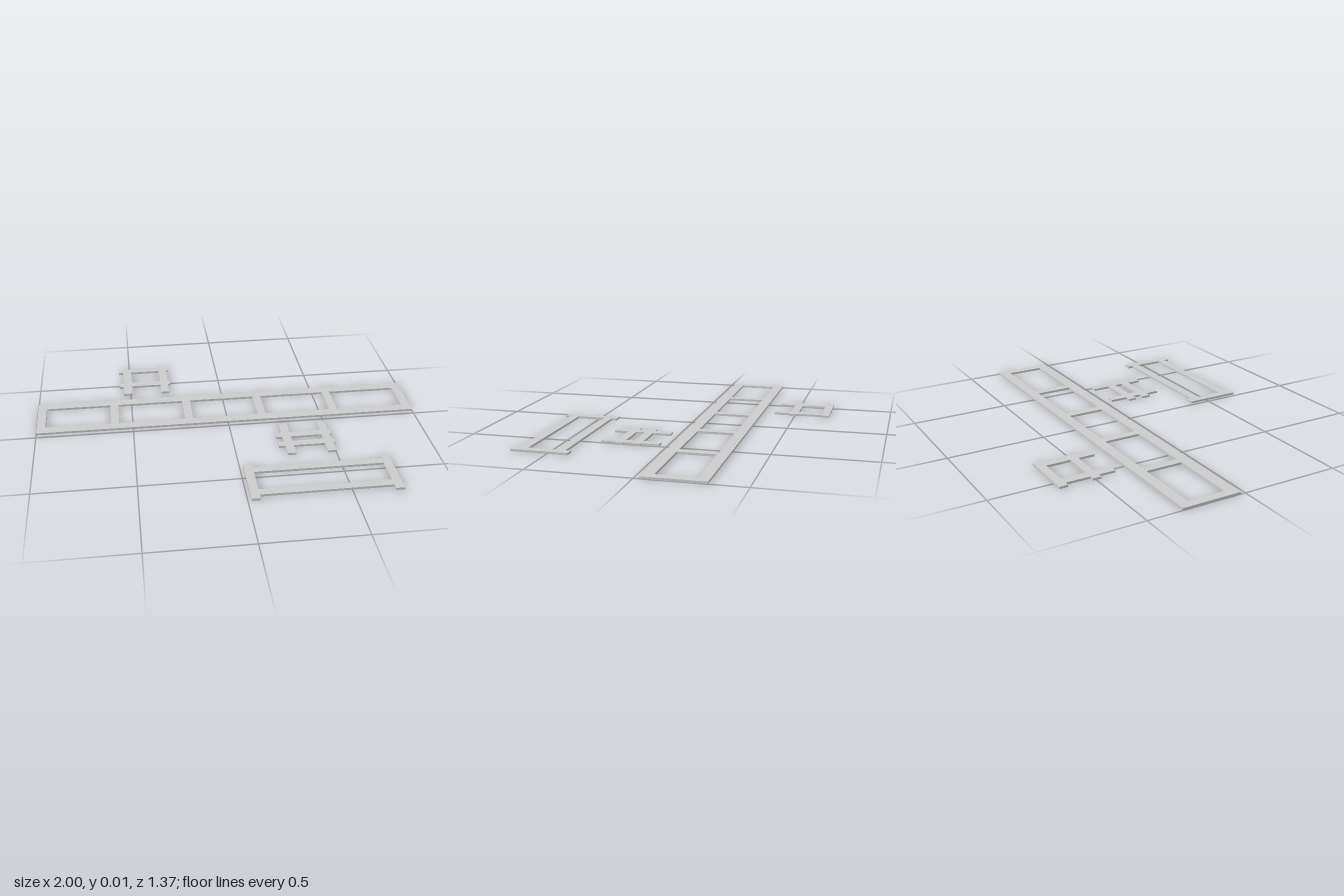
import * as THREE from 'three';

const THICKNESS = 0.011;
const material = new THREE.MeshStandardMaterial({ color: 0xcccccc });

// Flat plate cut from an [x, z] outline, with rectangular windows [x0, x1, z0, z1].
// Outlines run clockwise seen from above, windows the other way.
function plate(name, outline, windows) {
  const toVec = ([x, z]) => new THREE.Vector2(x, -z);
  const shape = new THREE.Shape(outline.map(toVec));
  for (const [x0, x1, z0, z1] of windows) {
    shape.holes.push(new THREE.Path([[x0, z0], [x0, z1], [x1, z1], [x1, z0]].map(toVec)));
  }
  const geometry = new THREE.ExtrudeGeometry(shape, { depth: THICKNESS, bevelEnabled: false });
  geometry.rotateX(-Math.PI / 2);
  const mesh = new THREE.Mesh(geometry, material);
  mesh.name = name;
  return mesh;
}

// Outline symmetric about x = cx, from the [half width, z] points of the +x side
function mirrored(cx, side) {
  return [
    ...side.map(([w, z]) => [cx + w, z]),
    ...side.slice().reverse().map(([w, z]) => [cx - w, z]),
  ];
}

export function createModel() {
  const group = new THREE.Group();
  group.name = 'frameSet';

  // Long frame: five windows divided by four cross bars
  const halfBar = 0.0215;
  const bars = [-0.593, -0.203, 0.186, 0.576];
  const starts = [-0.955, ...bars.map((x) => x + halfBar)];
  const ends = [...bars.map((x) => x - halfBar), 0.955];
  const windows = starts.map((x, i) => [x, ends[i], -0.27, -0.08]);
  group.add(plate('longFrame', mirrored(0, [[1, -0.324], [1, -0.025]]), windows));

  // Small frame: two posts, with a bar across the end and one part way down
  group.add(plate('smallEndFrame', [
    [-0.56, -0.684], [-0.276, -0.684], [-0.276, -0.641], [-0.287, -0.641],
    [-0.287, -0.516], [-0.276, -0.516], [-0.276, -0.473], [-0.287, -0.473],
    [-0.287, -0.388], [-0.331, -0.388], [-0.331, -0.473], [-0.49, -0.473],
    [-0.49, -0.388], [-0.536, -0.388], [-0.536, -0.473], [-0.56, -0.473],
    [-0.56, -0.516], [-0.536, -0.516], [-0.536, -0.641], [-0.56, -0.641],
  ], [[-0.49, -0.331, -0.641, -0.516]]));

  // Small crossed frame: two posts and two bars, all ends projecting
  group.add(plate('smallCrossFrame', [
    [0.255, 0.035], [0.298, 0.035], [0.298, 0.125], [0.458, 0.125],
    [0.458, 0.035], [0.501, 0.035], [0.501, 0.125], [0.51, 0.125],
    [0.51, 0.169], [0.501, 0.169], [0.501, 0.211], [0.512, 0.211],
    [0.512, 0.254], [0.501, 0.254], [0.501, 0.325], [0.458, 0.325],
    [0.458, 0.254], [0.298, 0.254], [0.298, 0.325], [0.255, 0.325],
    [0.255, 0.254], [0.222, 0.254], [0.222, 0.211], [0.255, 0.211],
    [0.255, 0.169], [0.222, 0.169], [0.222, 0.125], [0.255, 0.125],
  ], [[0.298, 0.458, 0.169, 0.211]]));

  // Side frame: two long rails between projecting end posts
  group.add(plate('sideFrame', mirrored(0.382, [
    [0.321, 0.426], [0.321, 0.399], [0.364, 0.399],
    [0.364, 0.685], [0.321, 0.685], [0.321, 0.656],
  ]), [[0.061, 0.703, 0.468, 0.612]]));

  return group;
}
